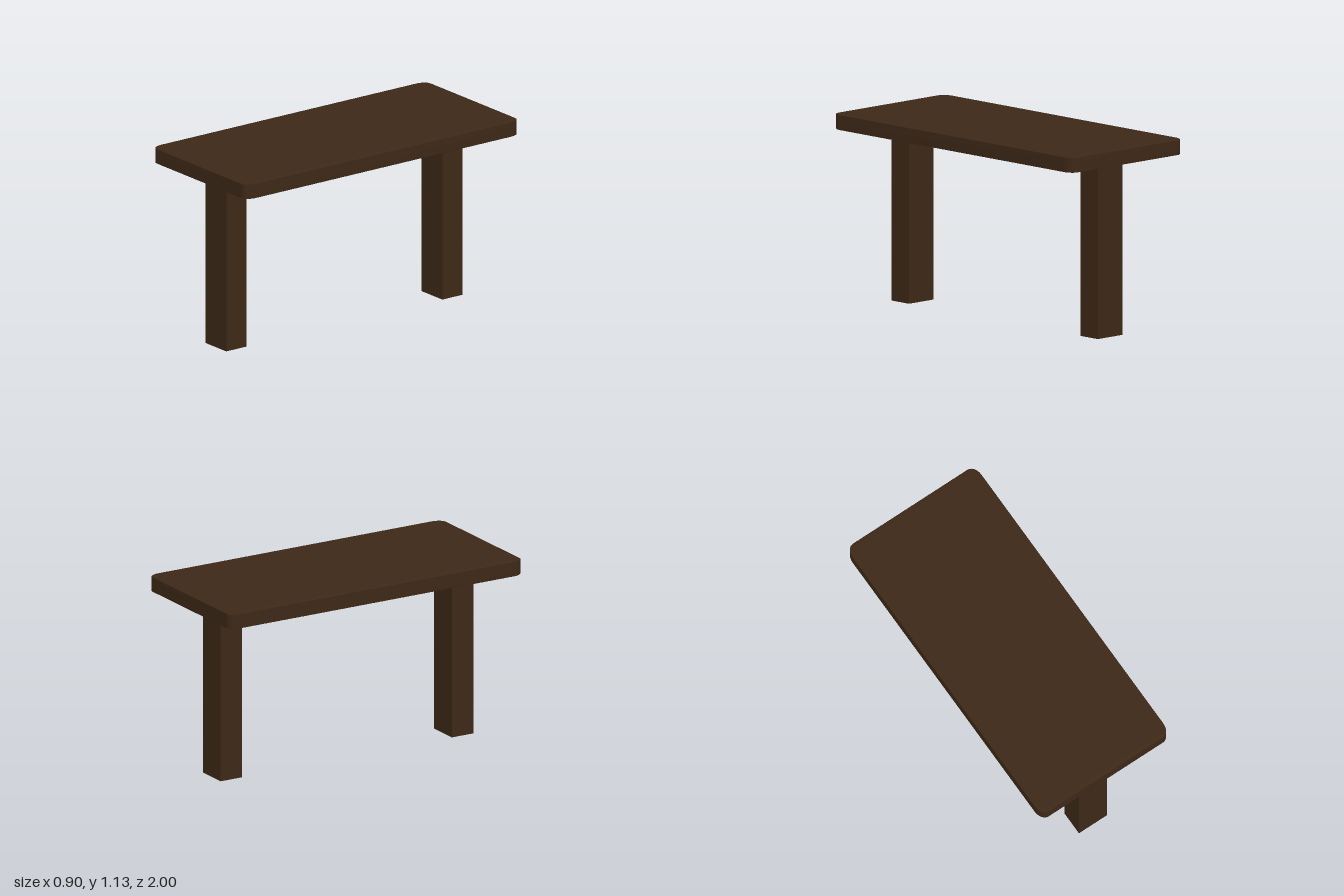
import * as THREE from 'three';
import { RoundedBoxGeometry } from 'three/addons/geometries/RoundedBoxGeometry.js';
import { mergeVertices } from 'three/addons/utils/BufferGeometryUtils.js';

export function createModel() {
  const table = new THREE.Group();
  table.name = 'table';
  const wood = new THREE.MeshStandardMaterial({ color: 0x3d2817 });

  // Table top: a rounded slab, stretched so its rounding is wide in plan and shallow in height
  const rounded = new RoundedBoxGeometry(0.904, 0.96, 2 / 1.4, 4, 0.05);
  rounded.scale(1, 0.1, 1.4);
  rounded.deleteAttribute('normal');
  rounded.deleteAttribute('uv');
  const slab = mergeVertices(rounded);
  slab.computeVertexNormals();
  const top = new THREE.Mesh(slab, wood);
  top.name = 'tableTop';
  top.position.y = 1.084;
  table.add(top);

  // Two square posts, stopping just short of the top
  const post = new THREE.BoxGeometry(0.197, 1.02, 0.146);
  for (const [name, z] of [['frontLeg', 0.8], ['backLeg', -0.775]]) {
    const leg = new THREE.Mesh(post, wood);
    leg.name = name;
    leg.position.set(-0.003, 0.51, z);
    table.add(leg);
  }
  return table;
}
